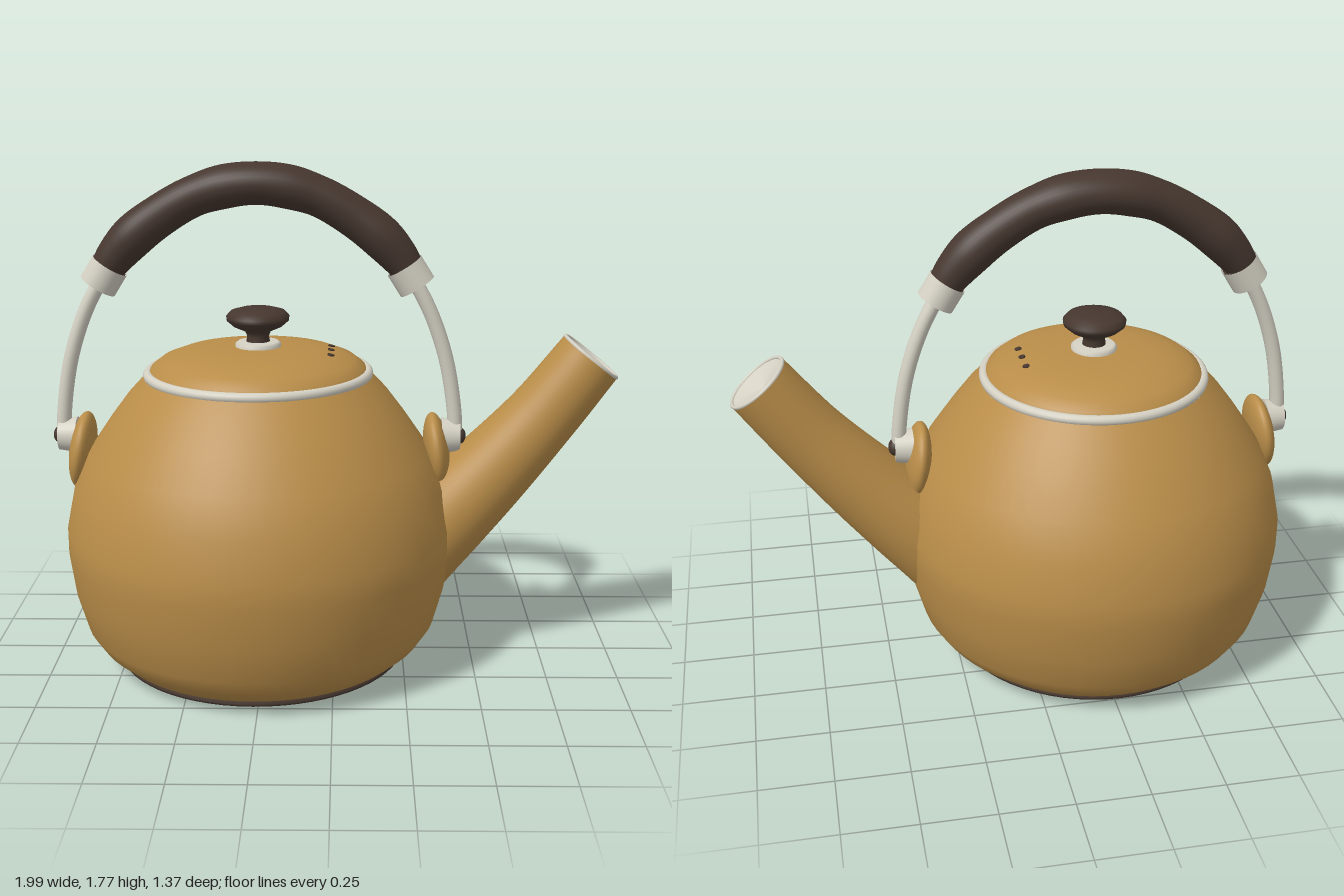
import * as THREE from 'three';

const AXIS = -0.265; // x of the kettle's own centre line

export function createModel() {
  const mat = (name, color) => {
    const m = new THREE.MeshStandardMaterial({ color });
    m.name = name;
    return m;
  };
  const ochre = mat('ochre enamel', 0xb98d49);
  const dark = mat('dark brown', 0x46372f);
  const cream = mat('cream metal', 0xd4d0c3);
  const creamOpen = mat('cream metal open', 0xd4d0c3);
  creamOpen.side = THREE.DoubleSide;

  const model = new THREE.Group();
  model.name = 'kettle';
  const kettle = new THREE.Group(); // local x = 0 is the kettle axis
  kettle.name = 'kettleParts';
  kettle.position.x = AXIS;
  model.add(kettle);

  const add = (name, geo, material, x = 0, y = 0, z = 0) => {
    const mesh = new THREE.Mesh(geo, material);
    mesh.name = name;
    mesh.position.set(x, y, z);
    kettle.add(mesh);
    return mesh;
  };
  const v2 = (pts) => pts.map(([r, y]) => new THREE.Vector2(r, y));
  const lathe = (name, pts, material) => add(name, new THREE.LatheGeometry(v2(pts), 64), material);

  // Sweep of elliptical rings along a path in the xy plane: [x, y, radius in plane, radius in z]
  const sweep = (stations, steps, sides = 32) => {
    const path = new THREE.CatmullRomCurve3(stations.map((s) => new THREE.Vector3(s[0], s[1], 0)));
    const radii = new THREE.CatmullRomCurve3(stations.map((s) => new THREE.Vector3(s[2], s[3], 0)));
    const pos = [], idx = [];
    for (let i = 0; i <= steps; i++) {
      const p = path.getPoint(i / steps), t = path.getTangent(i / steps), r = radii.getPoint(i / steps);
      for (let j = 0; j < sides; j++) {
        const a = (j / sides) * Math.PI * 2, n = Math.cos(a) * r.x;
        pos.push(p.x - t.y * n, p.y + t.x * n, Math.sin(a) * r.y);
        if (i === steps) continue;
        const k = (j + 1) % sides, A = i * sides + j, B = i * sides + k;
        idx.push(A, B, A + sides, B, B + sides, A + sides);
      }
    }
    const g = new THREE.BufferGeometry();
    g.setAttribute('position', new THREE.Float32BufferAttribute(pos, 3));
    g.setIndex(idx);
    g.computeVertexNormals();
    return g;
  };

  // Body
  lathe('body', [[0.3, 0.022], [0.47, 0.025], [0.53, 0.04], [0.588, 0.09], [0.628, 0.15], [0.665, 0.28],
    [0.684, 0.42], [0.684, 0.51], [0.655, 0.65], [0.602, 0.77], [0.52, 0.89], [0.46, 0.97], [0.4, 1.035]], ochre);

  // Dark foot ring
  lathe('footRing', [[0.43, 0.024], [0.44, 0.006], [0.46, 0], [0.495, 0.004], [0.515, 0.014], [0.52, 0.025],
    [0.51, 0.037], [0.48, 0.042]], dark);

  // Stepped metal plate underneath
  lathe('bottomPlate', [[0, 0.012], [0.12, 0.012], [0.135, 0.019], [0.19, 0.019], [0.22, 0.01], [0.25, 0.01],
    [0.27, 0.016], [0.325, 0.016], [0.335, 0.026]], cream);

  // Lid with its metal rim
  lathe('lid', [[0.385, 1.045], [0.375, 1.068], [0.34, 1.095], [0.28, 1.118], [0.2, 1.133], [0.1, 1.138], [0, 1.138]], ochre);
  add('lidRim', new THREE.TorusGeometry(0.385, 0.018, 12, 72), cream, 0, 1.045).rotation.x = Math.PI / 2;

  // Knob
  lathe('knobCollar', [[0.08, 1.13], [0.08, 1.148], [0.07, 1.156], [0, 1.156]], cream);
  lathe('knob', [[0.042, 1.15], [0.038, 1.175], [0.045, 1.192], [0.085, 1.21], [0.108, 1.23], [0.11, 1.245],
    [0.095, 1.262], [0.06, 1.272], [0, 1.274]], dark);

  // Steam holes
  for (const z of [-0.075, 0, 0.075])
    add('steamHole', new THREE.CylinderGeometry(0.012, 0.012, 0.008, 16), dark, 0.255, z ? 1.121 : 1.123, z).rotation.z = -0.22;

  // Spout, with a shallow dished opening and thin rim
  const spout = new THREE.Group();
  spout.name = 'spout';
  spout.position.x = -AXIS;
  kettle.add(spout);
  const tube = new THREE.Mesh(sweep([[0.18, 0.29, 0.19, 0.19], [0.26, 0.385, 0.183, 0.187], [0.41, 0.535, 0.164, 0.171],
    [0.56, 0.69, 0.145, 0.15], [0.735, 0.89, 0.126, 0.128], [0.898, 1.103, 0.118, 0.12]], 32, 40), ochre);
  tube.name = 'spoutTube';
  const mouth = new THREE.Group();
  mouth.name = 'spoutMouth';
  mouth.position.set(0.898, 1.103, 0);
  mouth.rotation.z = -Math.atan2(0.62, 0.785);
  const dish = new THREE.Mesh(new THREE.LatheGeometry(v2([[0.114, 0.002], [0, -0.03]]), 40), creamOpen);
  dish.name = 'spoutDish';
  const rim = new THREE.Mesh(new THREE.TorusGeometry(0.114, 0.007, 8, 40), cream);
  rim.name = 'spoutRim';
  rim.rotation.x = Math.PI / 2;
  mouth.add(dish, rim);
  spout.add(tube, mouth);

  // Handle wire and grip: half paths mirrored about the axis
  const mirror = (half) => [...half, ...half.slice().reverse().slice(1).map(([x, ...r]) => [-x, ...r])];
  const wire = [[-0.695, 0.8], [-0.69, 0.9], [-0.658, 1.09], [-0.6, 1.26], [-0.535, 1.38], [-0.47, 1.47]];
  for (const s of [-1, 1]) {
    const pts = wire.map(([x, y]) => [-s * x, y, 0.026, 0.029]);
    add('handleWire', sweep(pts, 24, 16), cream);
  }
  add('grip', sweep(mirror([[-0.525, 1.4, 0.055, 0.058], [-0.49, 1.45, 0.066, 0.068], [-0.42, 1.525, 0.075, 0.08],
    [-0.33, 1.592, 0.072, 0.075], [-0.22, 1.655, 0.07, 0.078], [-0.11, 1.69, 0.075, 0.09], [0, 1.702, 0.073, 0.093]]), 64, 32), dark);

  for (const s of [-1, 1]) {
    // Metal cuff with dark grip end inside
    const tilt = -s * -0.56;
    add('gripCuff', new THREE.CylinderGeometry(0.067, 0.067, 0.085, 32, 1, true), creamOpen, s * 0.53, 1.385).rotation.z = tilt;
    add('gripEnd', new THREE.CylinderGeometry(0.062, 0.062, 0.05, 32), dark, s * 0.522, 1.398).rotation.z = tilt;

    // Enamel lug on the shoulder
    const lug = add('handleLug', new THREE.SphereGeometry(1, 32, 20), ochre, s * 0.63, 0.76);
    lug.scale.set(0.045, 0.138, 0.125);
    lug.rotation.z = s * 0.14;

    // Pivot eye and pin
    const eye = add('handleEye', new THREE.CylinderGeometry(0.054, 0.064, 0.065, 32), cream, s * 0.678, 0.815);
    eye.rotation.z = -s * Math.PI / 2;
    const pin = add('handlePin', new THREE.SphereGeometry(0.03, 20, 12), dark, s * 0.71, 0.815);
    pin.scale.x = 0.75;
  }

  return model;
}
